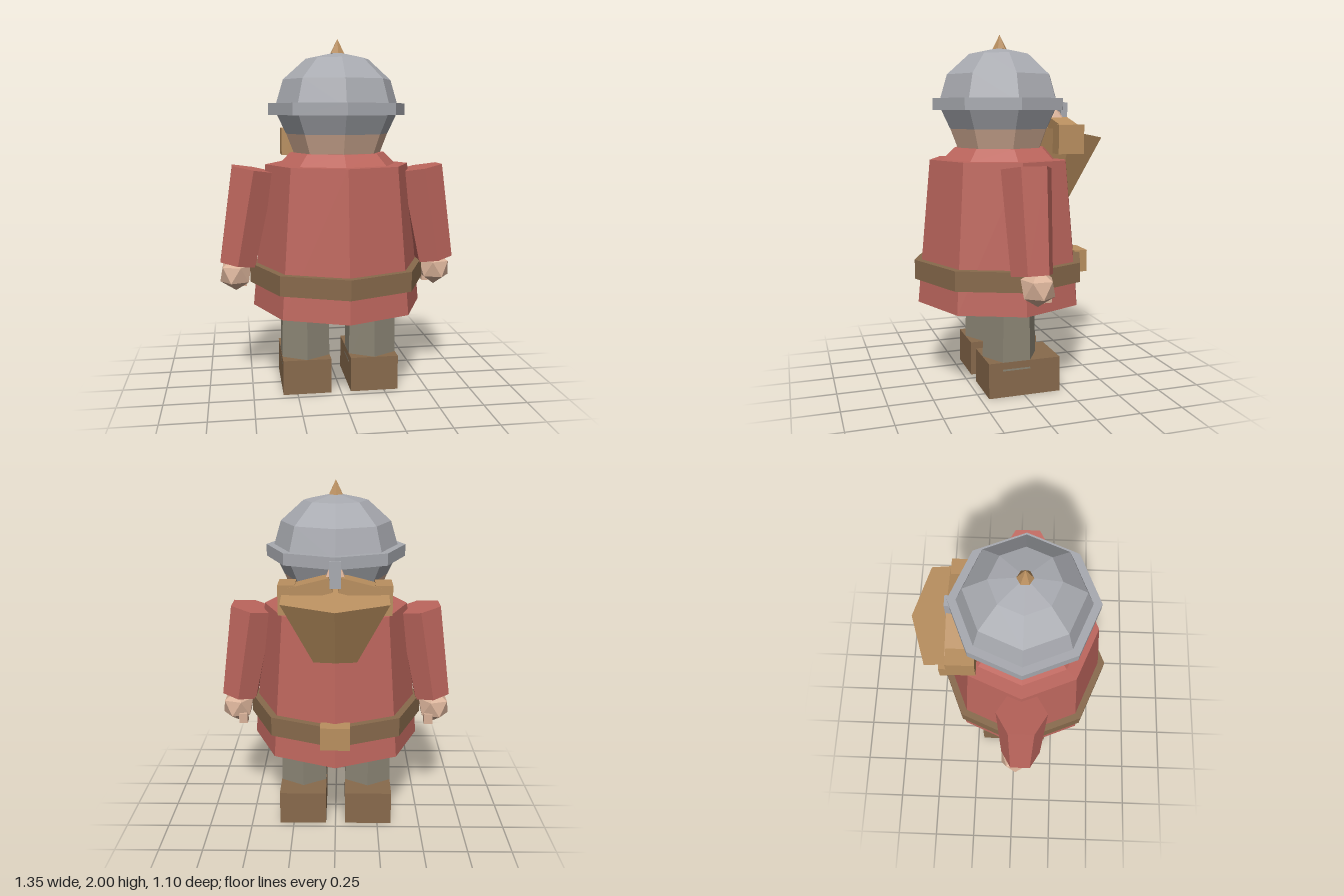
import * as THREE from 'three';

const mat = (name, color) => {
  const m = new THREE.MeshStandardMaterial({ color, flatShading: true });
  m.name = name;
  return m;
};

export function createModel() {
  const red = mat('red cloth', 0xbd665d);
  const leather = mat('brown leather', 0x886a4c);
  const tan = mat('tan hair and brass', 0xb98f5f);
  const steel = mat('grey steel', 0xa8aab0);
  const skin = mat('skin', 0xd9b299);
  const wool = mat('grey wool', 0x8a8474);
  const model = new THREE.Group();
  model.name = 'guard';
  const Z = 0.04; // body axis

  const add = (name, geo, material, x, y, z) => {
    const m = new THREE.Mesh(geo, material);
    m.name = name;
    m.position.set(x, y, z);
    model.add(m);
    return m;
  };
  // Upright tapered prism between two heights
  const prism = (name, material, sides, y0, r0, y1, r1, x = 0, z = Z) =>
    add(name, new THREE.CylinderGeometry(r1, r0, y1 - y0, sides), material, x, (y0 + y1) / 2, z);
  const box = (name, material, w, h, d, x, y, z) =>
    add(name, new THREE.BoxGeometry(w, h, d), material, x, y, z);

  // Robe and belt
  prism('robe', red, 8, 0.495, 0.487, 1.305, 0.41);
  prism('collar', red, 8, 1.3, 0.34, 1.37, 0.27);
  prism('belt', leather, 8, 0.63, 0.505, 0.74, 0.505);
  box('buckle', tan, 0.16, 0.13, 0.08, 0, 0.685, -0.441);

  // Head and helmet
  prism('head', skin, 8, 1.36, 0.245, 1.476, 0.29);
  prism('helmetSkirt', steel, 8, 1.476, 0.291, 1.59, 0.345);
  prism('helmetBand', steel, 8, 1.58, 0.39, 1.645, 0.39);
  const dome = [[0.353, 1.62], [0.306, 1.776], [0.178, 1.89], [0, 1.928]]
    .map(([r, y]) => new THREE.Vector2(r, y));
  add('helmetDome', new THREE.LatheGeometry(dome, 8), steel, 0, 0, Z);
  add('helmetSpike', new THREE.ConeGeometry(0.042, 0.08, 6), tan, 0, 1.96, Z);
  box('noseGuard', steel, 0.06, 0.14, 0.04, 0, 1.555, -0.345);
  add('nose', new THREE.IcosahedronGeometry(0.06, 0), skin, 0, 1.53, -0.295);

  // Beard: squashed tapered hexagon leaning forward
  const beard = new THREE.CylinderGeometry(0.323, 0.12, 0.4, 6).scale(1, 1, 0.56);
  add('beard', beard, tan, 0, 1.25, -0.34).rotation.x = -0.2;

  for (const s of [1, -1]) {
    const side = s > 0 ? 'left' : 'right';
    // Whiskers
    box(side + 'Whisker', tan, 0.09, 0.16, 0.15, s * 0.255, 1.42, -0.28);
    box(side + 'Moustache', tan, 0.22, 0.08, 0.11, s * 0.13, 1.475, -0.305).rotation.z = -s * 0.25;
    // Sleeve and hand
    const sleeve = new THREE.CylinderGeometry(0.138, 0.114, 0.546, 6);
    add(side + 'Sleeve', sleeve, red, s * 0.527, 1.012, 0.045).rotation.z = s * 0.175;
    const hand = new THREE.IcosahedronGeometry(0.1, 0);
    add(side + 'Hand', hand, skin, s * 0.587, 0.677, 0.017).rotation.z = s * 0.55;
    box(side + 'Thumb', skin, 0.05, 0.06, 0.05, s * 0.55, 0.62, -0.04);
    // Leg and boot
    prism(side + 'Leg', wool, 6, 0.15, 0.159, 0.56, 0.15, s * 0.194, 0.045);
    box(side + 'Boot', leather, 0.275, 0.2, 0.415, s * 0.194, 0.1, -0.003);
  }
  return model;
}
